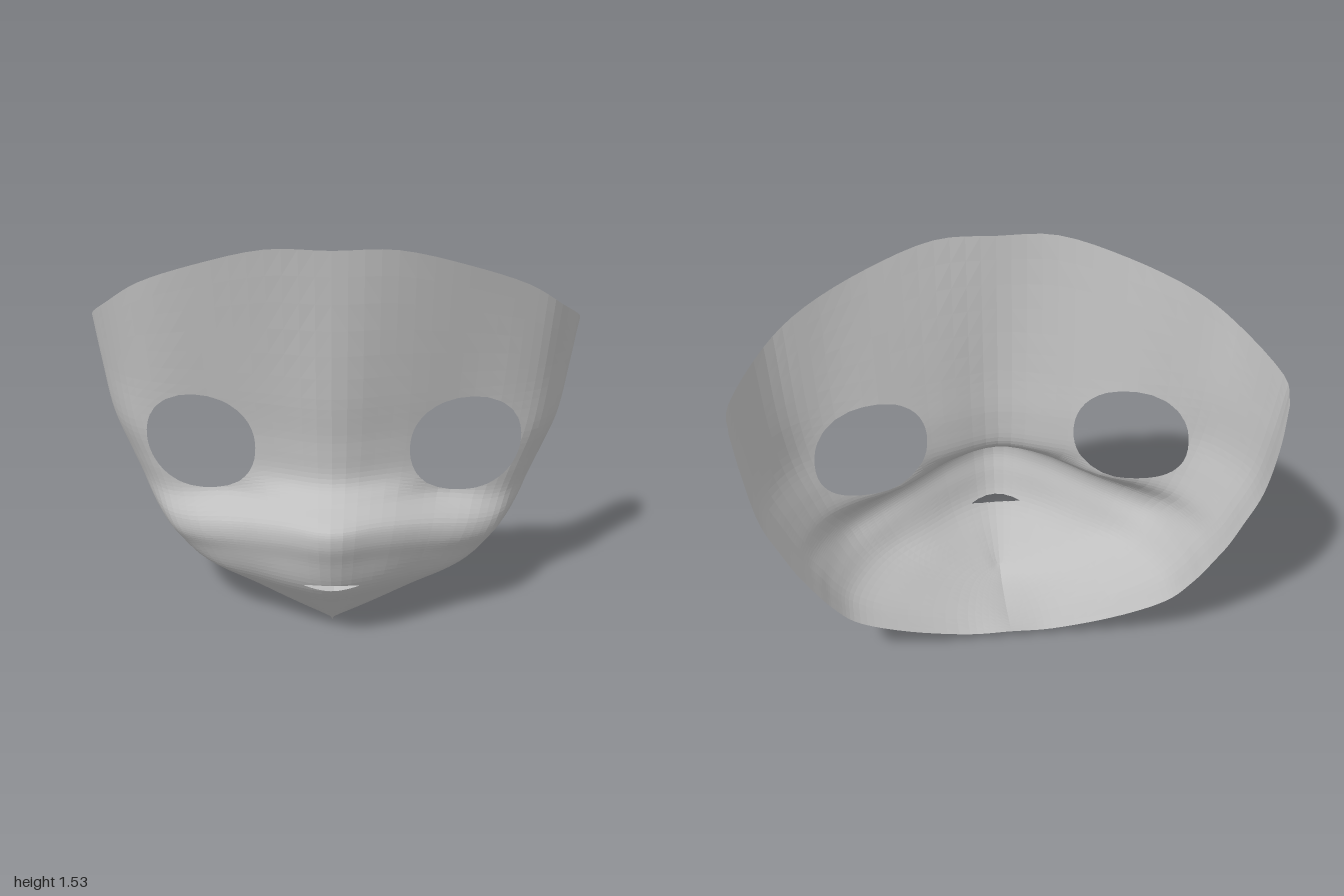
import * as THREE from 'three';

// Sections from the top edge down to the keel under the chin: height (one value, or
// one per point), droop towards the cheeks, half width, depth from centre to rear rim.
const FRACTIONS = [0, 0.24, 0.5, 0.73, 0.88, 0.995, 0.99];
const DROOP = [0, 0.1, 0.5, 0.9, 1, 0.9, 0.8];
const SECTIONS = [
  { y: [1.53, 1.53, 1.46, 1.37, 1.27, 1.17, 1.11], droop: 0, w: 1, z: [0.28, 0.26, 0.175, 0.06, -0.05, -0.28, -0.39] },
  { y: 0.97, droop: 0, w: 0.97, z: [0.24, 0.175, 0.09, 0.02, -0.08, -0.28, -0.44] },
  { y: 0.76, droop: 0, w: 0.93, z: [0.22, 0.15, 0.06, 0.01, -0.07, -0.27, -0.44] },
  { y: 0.63, droop: 0.02, w: 0.87, z: [0.23, 0.16, 0.065, 0.015, -0.07, -0.26, -0.43] },
  { y: 0.575, droop: 0.07, w: 0.825, z: [0.295, 0.22, 0.08, 0.03, -0.06, -0.25, -0.425] },
  { y: 0.515, droop: 0.1, w: 0.78, z: [0.43, 0.34, 0.21, 0.11, 0, -0.22, -0.41] },
  { y: 0.46, droop: 0.1, w: 0.745, z: [0.44, 0.36, 0.235, 0.13, 0.02, -0.21, -0.405] },
  { y: 0.38, droop: 0.08, w: 0.705, z: [0.415, 0.345, 0.225, 0.115, 0, -0.21, -0.39] },
  { y: 0.26, droop: 0.04, w: 0.63, z: [0.37, 0.315, 0.2, 0.1, -0.02, -0.2, -0.37] },
  { y: 0.14, droop: 0, w: 0.46, z: [0.27, 0.225, 0.15, 0.06, -0.05, -0.2, -0.34] },
  { y: 0.04, droop: 0, w: 0.17, z: [0.18, 0.15, 0.11, 0.05, -0.03, -0.16, -0.28] },
  { y: [0.04, 0.015, 0.003, 0.003, 0.01, 0.025, 0.04], droop: 0, w: 0, z: [0.18, 0.14, 0.08, 0, -0.1, -0.2, -0.28] },
];

// Openings seen from the front; distance is negative inside.
const HOLES = [
  { cx: 0.522, cy: 0.737, rx: 0.223, ry: 0.197, power: 2.2 }, // eye
  { cx: 0, cy: 0.26, rx: 0.108, ry: 0.016, power: 2 }, // mouth
];
const distance = (p, h) =>
  (Math.abs((p.x - h.cx) / h.rx) ** h.power + Math.abs((p.y - h.cy) / h.ry) ** h.power) ** (1 / h.power) - 1;

// Keep the part of a polygon outside one opening.
function cut(polygon, hole) {
  const out = [];
  polygon.forEach((a, i) => {
    const b = polygon[(i + 1) % polygon.length];
    const da = distance(a, hole), db = distance(b, hole);
    if (da >= 0) out.push(a);
    if ((da >= 0) !== (db >= 0)) out.push(a.clone().lerp(b, da / (da - db)));
  });
  return out;
}

// Smooth curve across one whole section, from the right rim to the left rim.
function sectionCurve({ y, droop, w, z }) {
  const left = FRACTIONS.map((f, i) =>
    new THREE.Vector3(f * w, Array.isArray(y) ? y[i] : y - droop * DROOP[i], z[i]));
  const right = left.slice(1).reverse().map((p) => new THREE.Vector3(-p.x, p.y, p.z));
  return new THREE.CatmullRomCurve3([...right, ...left], false, 'catmullrom', 0.5);
}

// Grid of points over the model's left half.
function halfGrid(columns, rows) {
  const across = SECTIONS.map(sectionCurve);
  const grid = [];
  for (let c = 0; c <= columns; c++) {
    const points = across.map((s) => s.getPoint(0.5 + (0.5 * c) / columns));
    const down = new THREE.CatmullRomCurve3(points, false, 'centripetal');
    grid.push(Array.from({ length: rows + 1 }, (_, r) => down.getPoint(r / rows)));
  }
  return grid;
}

function shellGeometry() {
  const columns = (FRACTIONS.length - 1) * 4;
  const rows = (SECTIONS.length - 1) * 6;
  const grid = halfGrid(columns, rows);
  const positions = [];
  const addTriangle = (a, b, c) => {
    for (const p of [a, b, c]) positions.push(p.x, p.y, p.z);
    for (const p of [a, c, b]) positions.push(-p.x, p.y, p.z); // mirrored half
  };
  for (let c = 0; c < columns; c++) {
    for (let r = 0; r < rows; r++) {
      const a = grid[c][r], b = grid[c][r + 1], d = grid[c + 1][r], e = grid[c + 1][r + 1];
      for (const triangle of [[a, b, e], [a, e, d]]) {
        const kept = HOLES.reduce(cut, triangle);
        for (let i = 1; i + 1 < kept.length; i++) addTriangle(kept[0], kept[i], kept[i + 1]);
      }
    }
  }
  const geometry = new THREE.BufferGeometry();
  geometry.setAttribute('position', new THREE.Float32BufferAttribute(positions, 3));
  geometry.computeVertexNormals(); // separate triangles give faceted shading
  return geometry;
}

export function createModel() {
  const grey = new THREE.MeshStandardMaterial({ color: 0xbfbfbf, side: THREE.DoubleSide });
  grey.name = 'plain grey';

  // Thin face mask with a muzzle, two eye openings and a mouth slit
  const shell = new THREE.Mesh(shellGeometry(), grey);
  shell.name = 'maskShell';

  const model = new THREE.Group();
  model.name = 'mask';
  model.add(shell);
  return model;
}
